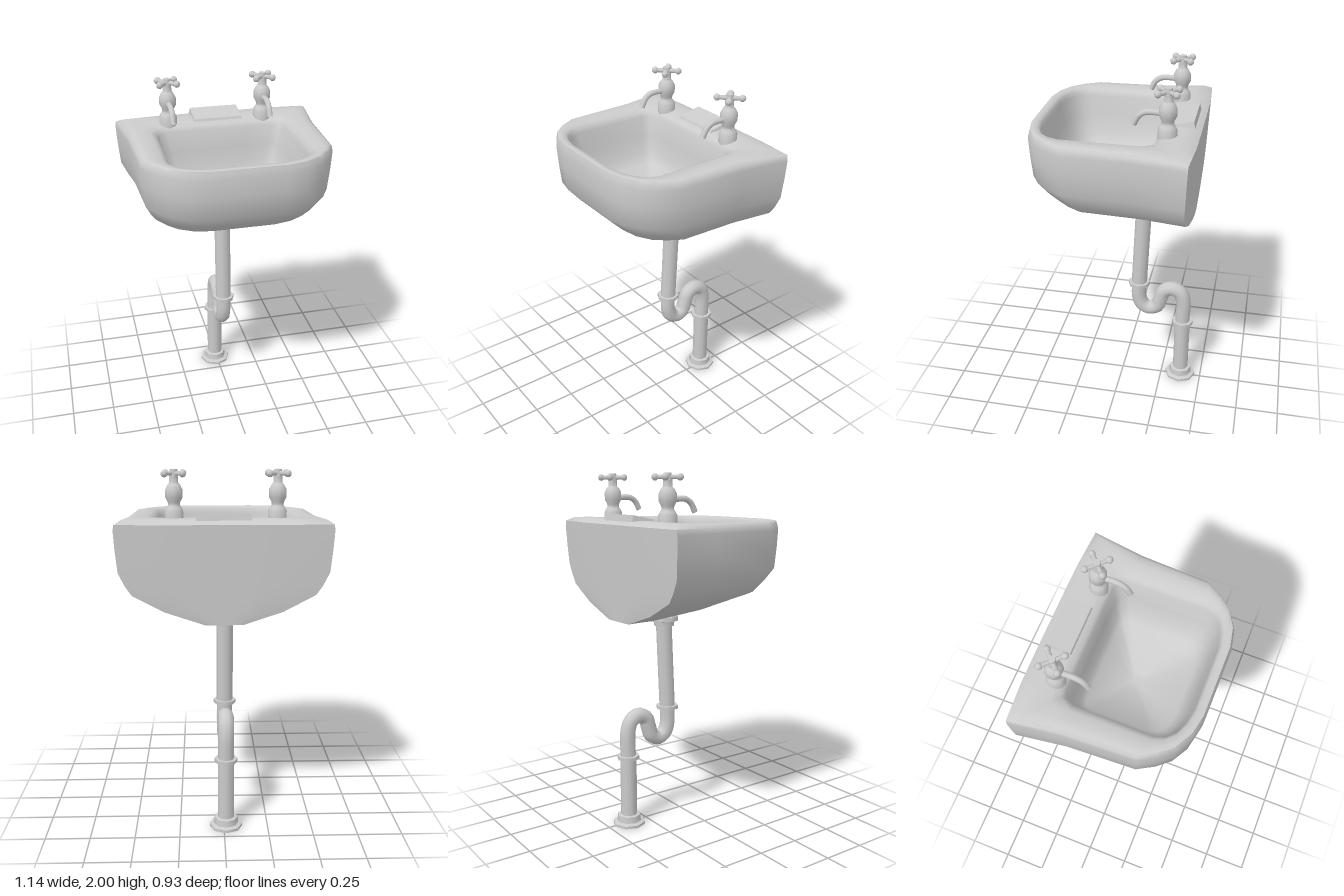
import * as THREE from 'three';
import { toCreasedNormals } from 'three/addons/utils/BufferGeometryUtils.js';

const grey = new THREE.MeshStandardMaterial({ color: 0xcccccc });
const greyBoth = new THREE.MeshStandardMaterial({ color: 0xcccccc, side: THREE.DoubleSide });

function add(parent, name, geometry, position = [0, 0, 0], material = grey) {
  const mesh = new THREE.Mesh(geometry, material);
  mesh.name = name;
  mesh.position.set(...position);
  parent.add(mesh);
  return mesh;
}

// Turned part from [radius, y] pairs
const turned = (profile, sides, crease = 0.9) => toCreasedNormals(
  new THREE.LatheGeometry(profile.map(([r, y]) => new THREE.Vector2(r, y)), sides), crease);

// Bent tube from [y, z] pairs in the plane x = 0
const bent = (points, radius, steps, sides) => new THREE.TubeGeometry(
  new THREE.CatmullRomCurve3(points.map(([y, z]) => new THREE.Vector3(0, y, z))), steps, radius, sides);

// Closed outline from its right half, running from back centre to front centre
const mirrored = half => [...half, ...half.slice(1, -1).reverse().map(([x, z]) => [-x, z])];

function basinGeometry() {
  const back = -0.44, front = 0.465;
  const outer = mirrored([[0, back], [0.18, -0.44], [0.36, -0.438], [0.57, -0.425], [0.53, -0.15],
    [0.512, 0.23], [0.46, 0.32], [0.40, 0.39], [0.31, 0.442], [0.2, front], [0, front]]);
  const inner = mirrored([[0, -0.22], [0.17, -0.22], [0.3, -0.22], [0.345, -0.205], [0.365, -0.16],
    [0.365, 0.27], [0.35, 0.32], [0.31, 0.36], [0.25, 0.385], [0.17, 0.4], [0, 0.4]]);
  const rings = [];

  // Outside shell: [height, width scale, front z]
  for (const [y, sx, zf] of [[1.2, 0, -0.3], [1.2, 0.18, -0.19], [1.27, 0.55, 0.06], [1.36, 0.85, 0.34],
    [1.41, 0.91, 0.39], [1.48, 0.97, 0.45], [1.6, 0.99, 0.46], [1.7, 1, front], [1.73, 0.992, 0.458]]) {
    const zb = back + 0.04 * (1.7 - y);
    rings.push(outer.map(([x, z]) =>
      [x * sx, y, zb + (z - back) * (zf - zb) / (front - back)]));
  }
  // Rim, slightly raised along the back deck
  for (const [y, t] of [[1.745, 0.17], [1.748, 0.4], [1.744, 0.75], [1.73, 0.93], [1.705, 1]]) {
    rings.push(outer.map(([x, z], i) => {
      const zz = THREE.MathUtils.lerp(z, inner[i][1], t);
      return [THREE.MathUtils.lerp(x, inner[i][0], t), y + (zz < -0.2 ? 0.006 : 0), zz];
    }));
  }
  // Bowl: [height, scale]
  for (const [y, s] of [[1.6, 0.93], [1.5, 0.85], [1.45, 0.75], [1.35, 0.14], [1.345, 0]]) {
    rings.push(inner.map(([x, z]) => [x * s, y, 0.02 + (z - 0.02) * s]));
  }

  const n = outer.length, index = [];
  for (let i = 0; i < rings.length - 1; i++) {
    for (let j = 0; j < n; j++) {
      const k = (j + 1) % n, a = i * n, b = a + n;
      index.push(a + j, b + j, b + k, a + j, b + k, a + k);
    }
  }
  const geometry = new THREE.BufferGeometry();
  geometry.setAttribute('position', new THREE.Float32BufferAttribute(rings.flat(2), 3));
  geometry.setIndex(index);
  return toCreasedNormals(geometry, 0.95);
}

// Raised ledge between the taps: a box narrowed and sloped at the top
function ledgeGeometry() {
  const geometry = new THREE.BoxGeometry(0.35, 0.1, 0.21);
  const p = geometry.attributes.position;
  for (let i = 0; i < p.count; i++) {
    if (p.getY(i) < 0) continue;
    const isFront = p.getZ(i) > 0;
    p.setXYZ(i, p.getX(i) * 0.78, isFront ? 0.075 : 0.1, isFront ? 0.055 : -0.075);
  }
  geometry.computeVertexNormals();
  return geometry;
}

function createTap() {
  const tap = new THREE.Group();
  add(tap, 'tapBody', turned([[0.05, -0.02], [0.05, 0.035], [0.042, 0.05], [0.032, 0.065], [0.034, 0.08],
    [0.047, 0.105], [0.047, 0.145], [0.034, 0.17], [0.024, 0.18], [0.024, 0.215], [0, 0.215]], 10));
  add(tap, 'spout', bent([[0.115, 0.03], [0.118, 0.08], [0.115, 0.115], [0.095, 0.148], [0.048, 0.175]],
    0.016, 12, 8), [0, 0, 0], greyBoth);
  // Cross handle with a knob on each arm
  const handle = new THREE.Group();
  handle.name = 'crossHandle';
  handle.position.y = 0.228;
  add(handle, 'handleHub', new THREE.CylinderGeometry(0.02, 0.024, 0.036, 8), [0, 0.003, 0]);
  for (let i = 0; i < 4; i++) {
    const arm = new THREE.Group();
    arm.name = 'handleArm';
    arm.rotation.y = Math.PI / 4 + i * Math.PI / 2;
    add(arm, 'armRod', new THREE.CylinderGeometry(0.012, 0.012, 0.06, 6), [0.035, 0, 0]).rotation.z = Math.PI / 2;
    add(arm, 'armKnob', new THREE.SphereGeometry(0.019, 8, 6), [0.066, 0, 0]);
    handle.add(arm);
  }
  tap.add(handle);
  return tap;
}

export function createModel() {
  const model = new THREE.Group();
  model.name = 'washbasin';
  const cx = -0.012;

  add(model, 'basin', basinGeometry());
  add(model, 'ledge', ledgeGeometry(), [0, 1.685, -0.325]);

  for (const [name, side] of [['leftTap', 1], ['rightTap', -1]]) {
    const tap = createTap();
    tap.name = name;
    tap.position.set(cx + side * 0.272, 1.752, -0.28);
    model.add(tap);
  }

  // Drain: flange, slanted upper pipe, trap and lower pipe
  const drain = new THREE.Group();
  drain.name = 'drain';
  drain.position.x = cx;
  model.add(drain);
  add(drain, 'drainFlange', turned([[0, 1.15], [0.058, 1.15], [0.06, 1.175], [0.082, 1.18], [0.082, 1.205],
    [0.05, 1.24]], 8), [0, 0, -0.118]);
  add(drain, 'upperPipe', bent([[1.17, -0.12], [0.66, -0.098]], 0.047, 1, 10));
  add(drain, 'trap', bent([[0.67, -0.098], [0.56, -0.1], [0.508, -0.122], [0.487, -0.165], [0.51, -0.212],
    [0.565, -0.232], [0.62, -0.252], [0.643, -0.3], [0.62, -0.35], [0.56, -0.372], [0.41, -0.372]], 0.045, 40, 10));
  add(drain, 'lowerPipe', new THREE.CylinderGeometry(0.047, 0.047, 0.4, 10, 1, true), [0, 0.21, -0.372], greyBoth);
  for (const [y, z] of [[0.664, -0.098], [0.41, -0.372]]) {
    add(drain, 'collar', toCreasedNormals(new THREE.CylinderGeometry(0.065, 0.065, 0.02, 8), 0.9), [0, y, z]);
  }
  // Hollow foot on the floor
  add(drain, 'footFlange', turned([[0.093, 0], [0.093, 0.015], [0.07, 0.022], [0.066, 0.058], [0.045, 0.062]], 8),
    [0, 0, -0.372], greyBoth);

  return model;
}
